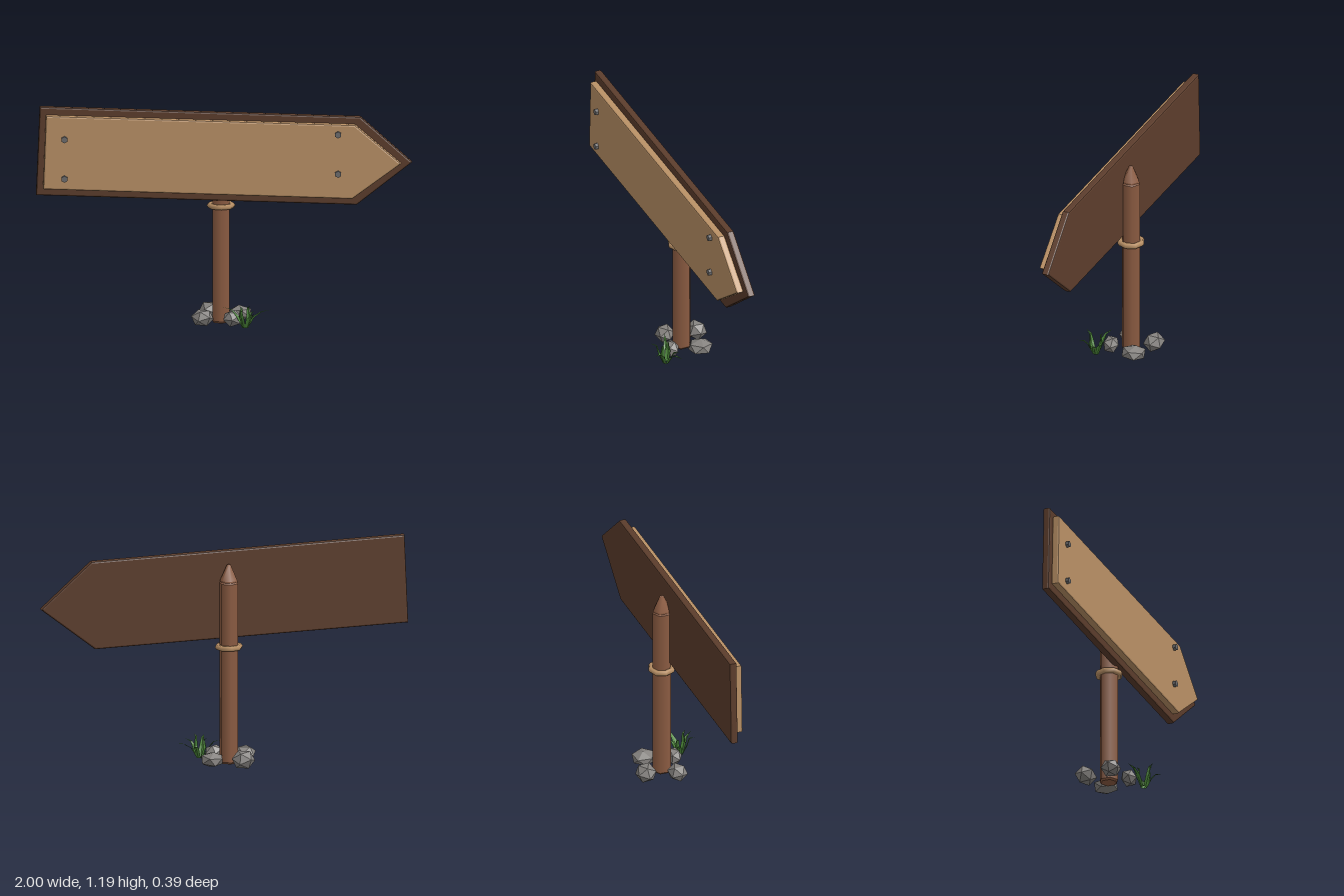
import * as THREE from 'three';

const mat = (name, color, extra = {}) => {
  const m = new THREE.MeshStandardMaterial({ color, ...extra });
  m.name = name;
  return m;
};

export function createModel() {
  const root = new THREE.Group();
  root.name = 'signpost';
  const postWood = mat('post wood', 0x8c5c42);
  const darkWood = mat('dark wood', 0x5c3d2c);
  const lightWood = mat('light wood', 0xba9166);
  const iron = mat('bolt iron', 0x6c6c6e, { flatShading: true });
  const rock = mat('stone grey', 0x85827f, { flatShading: true });
  const green = mat('grass green', 0x4a8438, { side: THREE.DoubleSide, flatShading: true });

  const add = (name, geo, material, x = 0, y = 0, z = 0, parent = root) => {
    const m = new THREE.Mesh(geo, material);
    m.name = name;
    m.position.set(x, y, z);
    parent.add(m);
    return m;
  };

  // Six-sided post: shaft with small chamfers, then a pointed cap
  const post = new THREE.Group();
  post.name = 'post';
  post.position.set(-0.015, 0, -0.038);
  root.add(post);
  const section = (name, y0, y1, r0, r1) =>
    add(name, new THREE.CylinderGeometry(r1, r0, y1 - y0, 6), postWood, 0, (y0 + y1) / 2, 0, post);
  section('postFoot', 0.008, 0.018, 0.044, 0.052);
  section('postShaft', 0.018, 0.988, 0.052, 0.052);
  section('postShoulder', 0.988, 0.996, 0.052, 0.045);
  section('postCapRim', 0.996, 1.004, 0.049, 0.048);
  section('postCap', 1.004, 1.085, 0.048, 0.012);
  section('postTip', 1.085, 1.09, 0.012, 0.006);

  // Ring around the post
  const ring = new THREE.TorusGeometry(0.061, 0.015, 6, 8);
  ring.rotateX(Math.PI / 2);
  add('postRing', ring, lightWood, 0, 0.642, 0, post);

  // Arrow boards with chamfered edges
  const board = (name, pts, z0, z1, bevel, material) => {
    const shape = new THREE.Shape(pts.map(([x, y]) => new THREE.Vector2(x, y)));
    const geo = new THREE.ExtrudeGeometry(shape, {
      depth: z1 - z0 - 2 * bevel, bevelEnabled: true, bevelThickness: bevel,
      bevelSize: bevel, bevelOffset: -bevel, bevelSegments: 2,
    });
    add(name, geo, material, 0, 0, z0 + bevel);
  };
  board('backBoard', [[-1, 0.715], [0.705, 0.655], [1, 0.885], [0.725, 1.133], [-0.98, 1.195]],
    -0.008, 0.033, 0.009, darkWood);
  board('frontBoard', [[-0.963, 0.755], [0.68, 0.695], [0.94, 0.885], [0.695, 1.097], [-0.948, 1.154]],
    0.032, 0.073, 0.009, lightWood);

  // Hexagonal bolts
  for (const [x, y] of [[-0.85, 1.027], [-0.85, 0.813], [0.605, 1.047], [0.605, 0.833]]) {
    const geo = new THREE.CylinderGeometry(0.018, 0.018, 0.024, 6);
    geo.rotateX(Math.PI / 2);
    add('bolt', geo, iron, x, y, 0.078);
  }

  // Faceted stones: x, z, half sizes, turn
  const stones = [
    [-0.115, 0.015, 0.06, 0.039, 0.05, 0.4],
    [0.045, 0.052, 0.05, 0.042, 0.045, 1.5],
    [0.09, -0.1, 0.058, 0.041, 0.06, 2.3],
    [-0.07, -0.148, 0.064, 0.044, 0.05, 3.4],
  ];
  stones.forEach(([x, z, sx, sy, sz, turn]) => {
    const geo = new THREE.IcosahedronGeometry(1, 0);
    geo.rotateX(turn);
    geo.rotateY(turn * 1.7);
    geo.computeBoundingBox();
    const b = geo.boundingBox;
    geo.scale(sx / b.max.x, sy / b.max.y, sz / b.max.z);
    add('stone', geo, rock, x, sy + 0.003, z);
  });

  // Grass tuft: each blade is a folded strip from base, through a bend, to its tip
  const tuft = new THREE.Group();
  tuft.name = 'grassTuft';
  tuft.position.set(0.11, 0, 0.11);
  root.add(tuft);
  const tips = [[0.145, 0.1, -0.03], [0.06, 0.098, 0.085], [-0.04, 0.12, 0.07],
    [-0.115, 0.11, -0.045], [0.025, 0.135, 0.04], [0.05, 0.085, -0.06], [-0.03, 0.12, -0.03]];
  for (const [tx, ty, tz] of tips) {
    const len = Math.hypot(tx, tz);
    const dx = tx / len, dz = tz / len;
    const v = [];
    // Left edge, fold and right edge at each height
    for (const [out, y, w] of [[0.012, 0.008, 0.011], [0.025 + len * 0.15, 0.065, 0.014], [len * 0.6, ty * 0.9, 0.007]]) {
      for (const s of [-1, 0, 1]) {
        const o = out + (s === 0 ? 0.005 : 0);
        v.push(dx * o - dz * w * s, y, dz * o + dx * w * s);
      }
    }
    v.push(tx, ty, tz);
    const geo = new THREE.BufferGeometry();
    geo.setAttribute('position', new THREE.Float32BufferAttribute(v, 3));
    const idx = [];
    for (const r of [0, 3]) for (const c of [0, 1]) {
      const a = r + c;
      idx.push(a, a + 3, a + 1, a + 1, a + 3, a + 4);
    }
    idx.push(6, 9, 7, 7, 9, 8);
    geo.setIndex(idx);
    geo.computeVertexNormals();
    add('grassBlade', geo, green, 0, 0, 0, tuft);
  }

  return root;
}
